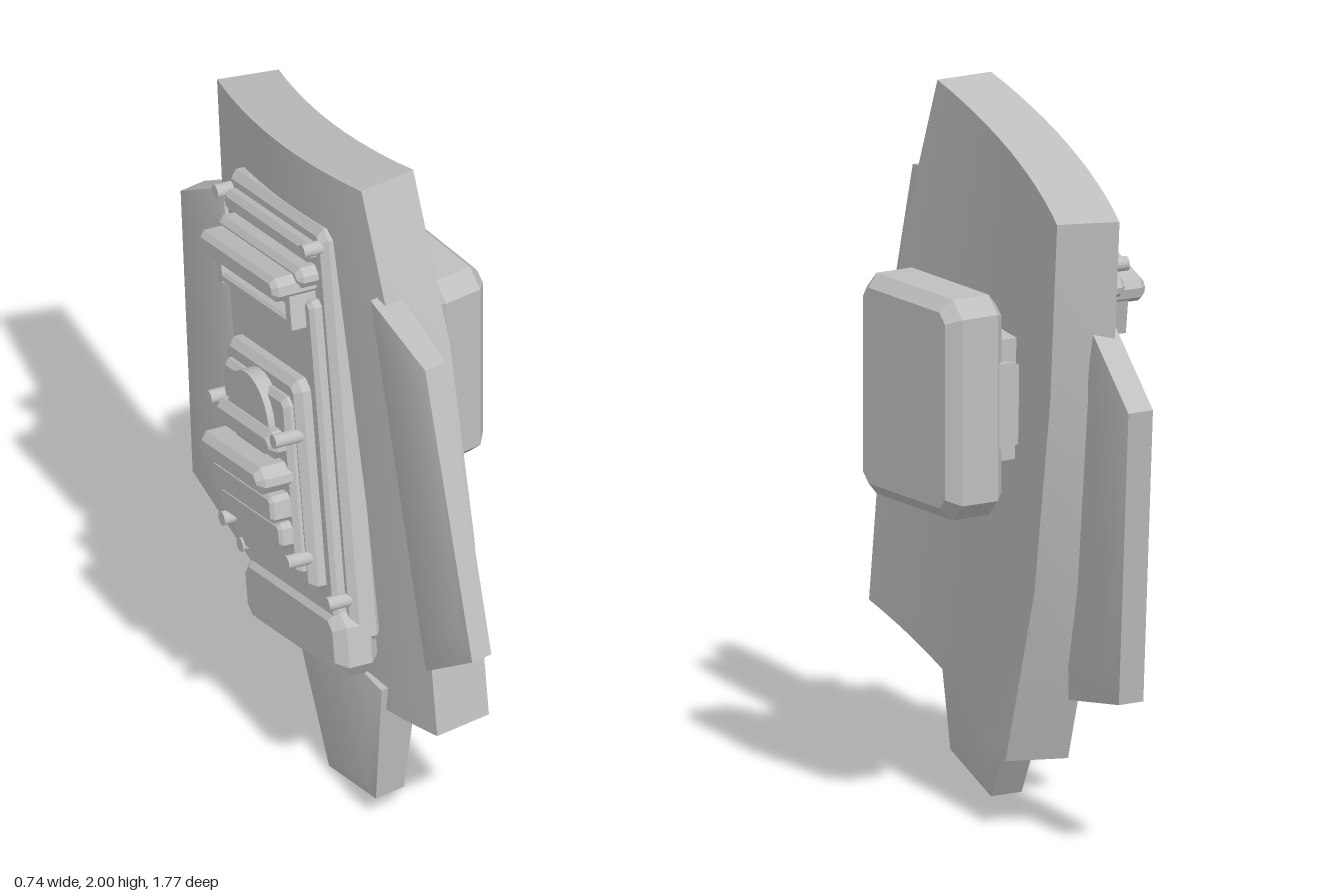
import * as THREE from 'three';
import { toCreasedNormals } from 'three/addons/utils/BufferGeometryUtils.js';

const grey = new THREE.MeshStandardMaterial({ color: 0xbfbfbf });
grey.name = 'grey';

function add(parent, name, geometry, x = 0, y = 0, z = 0) {
  const mesh = new THREE.Mesh(geometry, grey);
  mesh.name = name;
  mesh.position.set(x, y, z);
  parent.add(mesh);
  return mesh;
}

// Closed solid through rings of equal (even) point count, capped at both ends
function loft(rings) {
  const n = rings[0].length, last = (rings.length - 1) * n, index = [];
  const quad = (a, b, c, d) => index.push(a, b, c, a, c, d);
  for (let r = 0; r < rings.length - 1; r++) {
    for (let j = 0; j < n; j++) {
      const k = (j + 1) % n;
      quad(r * n + j, r * n + n + j, r * n + n + k, r * n + k);
    }
  }
  for (let j = 0; j < n / 2 - 1; j++) {
    quad(j, j + 1, n - 2 - j, n - 1 - j);
    quad(last + n - 1 - j, last + n - 2 - j, last + j + 1, last + j);
  }
  const g = new THREE.BufferGeometry();
  g.setAttribute('position', new THREE.Float32BufferAttribute(rings.flat(2), 3));
  g.setIndex(index);
  return toCreasedNormals(g, 0.5);
}

// Four-cornered fin; corners are [inner x, outer x, y, z], with softly raised faces
function fin(corners) {
  const ring = (side, bulge) => corners.map((c) => [c[side] + bulge, c[2], c[3]]);
  const inset = (points) => {
    const mid = [0, 1, 2].map((i) => points.reduce((s, p) => s + p[i] / 4, 0));
    return points.map((p) => p.map((v, i) => v + (mid[i] - v) * 0.2));
  };
  return loft([inset(ring(1, 0.012)), ring(1, 0), ring(0, 0), inset(ring(0, -0.012))]);
}

// Box with cut corners and chamfered edges, standing on z = 0
function block(w, h, d, c) {
  const a = w / 2 - c, b = h / 2 - c, k = c * 0.8;
  const shape = new THREE.Shape([
    [a, -b + k], [a, b - k], [a - k, b], [-a + k, b],
    [-a, b - k], [-a, -b + k], [-a + k, -b], [a - k, -b],
  ].map((p) => new THREE.Vector2(...p)));
  const g = new THREE.ExtrudeGeometry(shape, {
    depth: d - 2 * c, bevelThickness: c, bevelSize: c, bevelSegments: 1,
  });
  return g.translate(0, 0, c);
}

export function createModel() {
  const model = new THREE.Group();
  model.name = 'curvedShield';

  // Curved main plate: front and back edge of the outer face, row by row
  const rows = [
    [[0.07, 2.0, 0.21], [0.23, 1.78, -0.635]],
    [[0.05, 1.53, 0.41], [0.22, 1.27, -0.585]],
    [[0.03, 0.97, 0.55], [0.2, 0.71, -0.475]],
    [[0.01, 0.445, 0.645], [0.18, 0.2, -0.3]],
  ];
  const steps = 12, thickness = 0.175;
  add(model, 'mainPlate', loft(rows.map(([a, b]) => {
    const outer = [], inner = [];
    for (let i = 0; i <= steps; i++) {
      const t = i / steps, angle = 0.36 * t;
      const x = a[0] + (b[0] - a[0]) * t * t;
      const y = a[1] + (b[1] - a[1]) * t;
      const z = a[2] + (b[2] - a[2]) * t;
      outer.push([x, y, z]);
      inner.unshift([x - thickness * Math.cos(angle), y, z - thickness * Math.sin(angle)]);
    }
    return [...outer, ...inner];
  })));

  // Side wings and lower fin
  add(model, 'frontWing', fin([
    [-0.18, -0.11, 1.66, 0.61], [-0.225, -0.16, 0.86, 0.89],
    [-0.17, -0.1, 0.64, 0.6], [-0.14, -0.055, 1.7, 0.3],
  ]));
  add(model, 'backWing', fin([
    [0.035, 0.115, 1.47, -0.627], [-0.04, 0.04, 0.37, -0.37],
    [0.03, 0.11, 0.44, -0.76], [0.08, 0.16, 1.29, -0.885],
  ]));
  add(model, 'lowerFin', fin([
    [-0.175, -0.05, 0.46, 0.4], [-0.165, -0.07, 0.07, 0.36],
    [-0.12, -0.02, 0.0, 0.08], [-0.07, 0.025, 0.4, -0.17],
  ]));

  // Mounting pad on the outer face, on a hinge
  const pad = add(model, 'mountPad', block(0.48, 0.62, 0.185, 0.035), 0.18, 1.2, -0.075);
  pad.rotation.y = Math.PI / 2;
  add(model, 'hingeBlock', new THREE.BoxGeometry(0.15, 0.34, 0.4), 0.14, 1.21, -0.08);
  const hinge = add(model, 'hingeBarrel', new THREE.CylinderGeometry(0.12, 0.12, 0.46, 32), 0.185, 1.2, -0.075);
  hinge.rotation.x = Math.PI / 2;

  // Equipment on the inner face: local x to the front, y up, z away from the plate
  const gear = new THREE.Group();
  gear.name = 'innerEquipment';
  const up = new THREE.Vector3(0.08, 0.971, -0.237).normalize();
  const out = new THREE.Vector3(-0.155, 0.237, 0.971).cross(up).normalize();
  const across = up.clone().cross(out);
  gear.quaternion.setFromRotationMatrix(new THREE.Matrix4().makeBasis(across, up, out));
  gear.position.set(-0.09, 1.1, -0.065);
  model.add(gear);

  // name, width, low y, high y, base, top, chamfer
  const blocks = [
    ['basePanel', 0.6, -0.6, 0.63, -0.04, 0.05, 0.02],
    ['steppedPanel', 0.53, -0.56, 0.42, 0.02, 0.085, 0.012],
    ['upperRib', 0.52, 0.53, 0.59, 0.03, 0.085, 0.015],
    ['upperRibLow', 0.52, 0.46, 0.52, 0.03, 0.11, 0.015],
    ['crossBar', 0.48, 0.43, 0.5, 0.03, 0.18, 0.015],
    ['slotLip', 0.46, 0.34, 0.37, 0.05, 0.13, 0.008],
    ['middlePanel', 0.45, -0.45, 0.18, 0.06, 0.13, 0.02],
    ['innerPanel', 0.4, -0.4, 0.13, 0.1, 0.155, 0.015],
    ['upperGrip', 0.37, -0.05, 0.03, 0.12, 0.2, 0.02],
    ['mainGrip', 0.39, -0.14, -0.06, 0.12, 0.25, 0.02],
    ['gripPlate', 0.37, -0.23, -0.15, 0.12, 0.215, 0.01],
    ['gripPlateLow', 0.37, -0.31, -0.235, 0.12, 0.195, 0.01],
    ['lowerBox', 0.6, -0.69, -0.49, -0.03, 0.1, 0.03],
  ];
  for (const [name, w, y0, y1, z0, z1, c] of blocks) {
    add(gear, name, block(w, y1 - y0, z1 - z0, c), 0, (y0 + y1) / 2, z0);
  }
  for (const side of [-1, 1]) {
    add(gear, 'slotPost', new THREE.BoxGeometry(0.03, 0.12, 0.08), side * 0.215, 0.4, 0.09);
  }

  // Round cover and corner pegs
  const cylinder = (name, r, x, y, z0, z1) => {
    const m = add(gear, name, new THREE.CylinderGeometry(r, r, z1 - z0, 24), x, y, (z0 + z1) / 2);
    m.rotation.x = Math.PI / 2;
  };
  cylinder('roundCover', 0.125, 0, 0.03, 0.1, 0.175);
  const pegs = [[0.27, 0.58, 0.1], [0.2, 0.02, 0.2], [0.2, -0.34, 0.19], [0.27, -0.46, 0.11]];
  for (const [x, y, top] of pegs) {
    for (const side of [-1, 1]) cylinder('peg', 0.02, side * x, y, 0.02, top);
  }
  return model;
}
